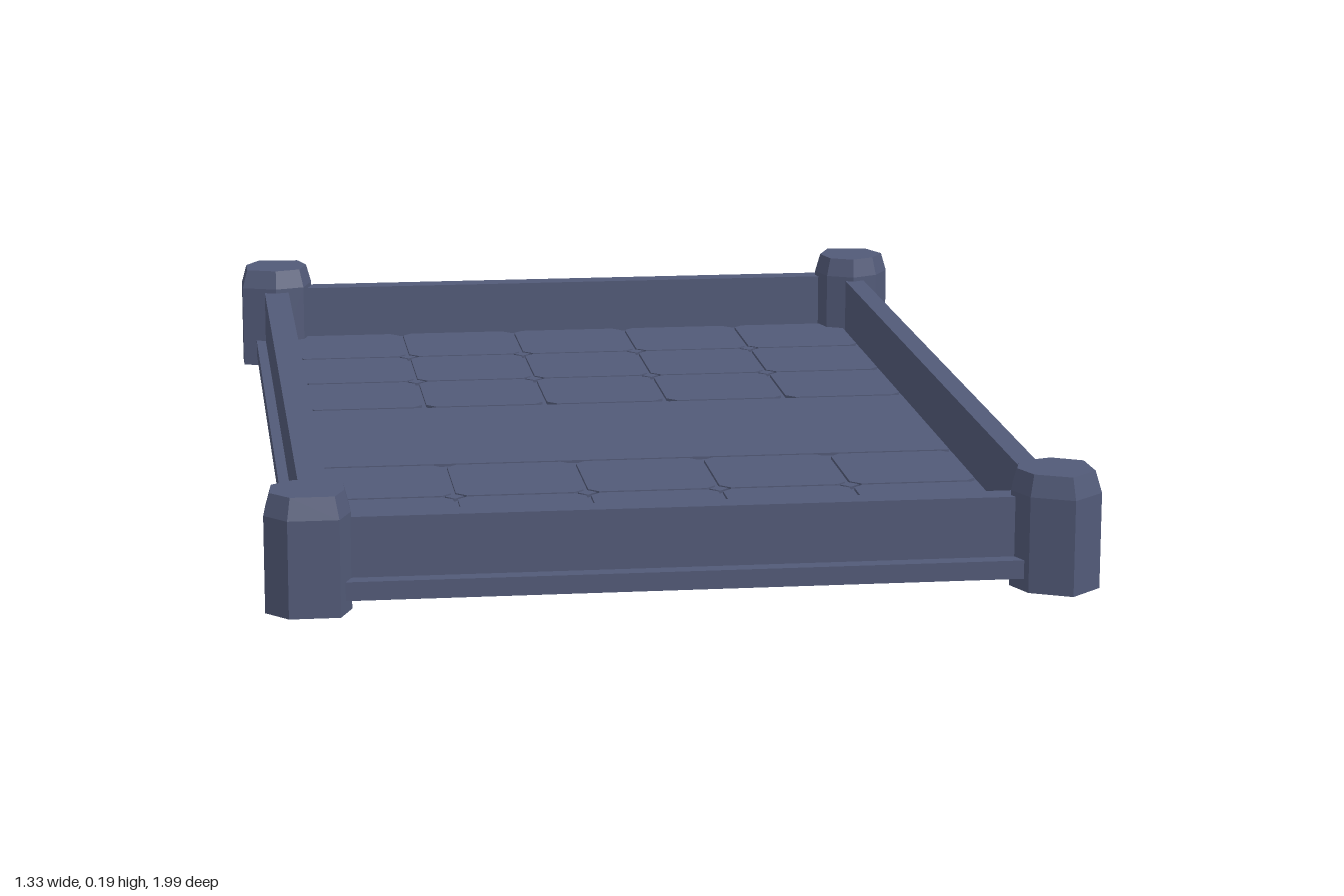
import * as THREE from 'three';
import { ConvexGeometry } from 'three/addons/geometries/ConvexGeometry.js';
import { mergeGeometries } from 'three/addons/utils/BufferGeometryUtils.js';

export function createModel() {
  const model = new THREE.Group();
  const stone = new THREE.MeshStandardMaterial({ color: 0x525a78 });
  stone.name = 'slate stone';
  const green = new THREE.MeshStandardMaterial({ color: 0x2a7f69 });
  green.name = 'green inlay';

  const add = (name, geometry, material = stone, parent = model) => {
    const mesh = new THREE.Mesh(geometry, material);
    mesh.name = name;
    parent.add(mesh);
    return mesh;
  };
  // Box from its two extreme corners
  const box = (x0, x1, y0, y1, z0, z1) =>
    new THREE.BoxGeometry(x1 - x0, y1 - y0, z1 - z0)
      .translate((x0 + x1) / 2, (y0 + y1) / 2, (z0 + z1) / 2);

  // Floor: inner bounds
  const X0 = -0.555, X1 = 0.565, Z0 = -0.91, Z1 = 0.88;
  const FLOOR_LOW = 0.034, FLOOR_TOP = 0.05;
  add('floorBase', box(X0, X1, 0.039, 0.045, Z0, Z1));

  // Slab with clipped corners, given in plan
  const slab = (x0, x1, z0, z1, clip) => {
    const s = new THREE.Shape([
      [x0 + clip, z0], [x1 - clip, z0], [x1, z0 + clip], [x1, z1 - clip],
      [x1 - clip, z1], [x0 + clip, z1], [x0, z1 - clip], [x0, z0 + clip],
    ].map(([x, z]) => new THREE.Vector2(x, -z)));
    return new THREE.ExtrudeGeometry(s, { depth: FLOOR_TOP - FLOOR_LOW, bevelEnabled: false })
      .rotateX(-Math.PI / 2).translate(0, FLOOR_LOW, 0);
  };
  const tiles = new THREE.Group();
  tiles.name = 'floorTiles';
  model.add(tiles);
  const cols = 5, rows = 3, gap = 0.004, w = (X1 - X0) / cols;
  for (const [a, b] of [[Z0, -0.24], [0.205, Z1]]) {
    const d = (b - a) / rows;
    for (let r = 0; r < rows; r++) {
      for (let c = 0; c < cols; c++) {
        const x = X0 + c * w, z = a + r * d;
        add('tile', slab(x + gap, x + w - gap, z + gap, z + d - gap, 0.017), stone, tiles);
        // Small diamond where four tiles meet
        if (r > 0 && c > 0) {
          const g = new THREE.CylinderGeometry(0.016, 0.016, FLOOR_TOP - FLOOR_LOW, 4)
            .translate(x, (FLOOR_TOP + FLOOR_LOW) / 2, z);
          add('diamondTile', g, stone, tiles);
        }
      }
    }
  }
  add('centrePanel', slab(X0 + gap, X1 - gap, -0.24 + gap, 0.205 - gap, 0.004));

  // Raised rails, each with a low outer ledge
  const low = 0.02, step = 0.05, top = 0.147;
  add('leftRail', box(X1, 0.602, low, top, -0.93, 0.9));
  add('leftLedge', box(0.6, 0.62, low, step, -0.93, 0.9));
  add('rightRail', box(-0.602, X0, low, top, -0.93, 0.9));
  add('rightLedge', box(-0.62, -0.6, low, step, -0.93, 0.9));
  add('frontRail', box(-0.58, 0.58, low, top, Z1, 0.922));
  add('frontLedge', box(-0.58, 0.58, low, step, 0.92, 0.948));
  add('backRail', box(-0.58, 0.58, low, top, -0.95, Z0));
  add('backLedge', box(-0.58, 0.58, low, step, -0.973, -0.948));

  // Rough-hewn corner posts: plan outlines, chamfered at the top
  const posts = {
    rightFrontPost: [[-0.62, 0.84], [-0.57, 0.835], [-0.53, 0.865], [-0.53, 0.92],
      [-0.55, 0.97], [-0.63, 0.97], [-0.665, 0.93], [-0.66, 0.87]],
    leftFrontPost: [[0.59, 0.835], [0.645, 0.865], [0.648, 0.945], [0.595, 0.992],
      [0.53, 0.96], [0.51, 0.91], [0.525, 0.855]],
    rightBackPost: [[-0.615, -1], [-0.525, -0.995], [-0.507, -0.94], [-0.525, -0.88],
      [-0.58, -0.862], [-0.645, -0.885], [-0.645, -0.95]],
    leftBackPost: [[0.545, -0.995], [0.635, -0.98], [0.66, -0.92], [0.63, -0.87],
      [0.58, -0.845], [0.53, -0.87], [0.515, -0.925]],
  };
  for (const [name, outline] of Object.entries(posts)) {
    const cx = outline.reduce((s, p) => s + p[0], 0) / outline.length;
    const cz = outline.reduce((s, p) => s + p[1], 0) / outline.length;
    const points = [];
    for (const [y, k] of [[0, 1], [0.155, 1], [0.19, 0.86]]) {
      for (const [x, z] of outline) {
        points.push(new THREE.Vector3(cx + (x - cx) * k, y, cz + (z - cz) * k));
      }
    }
    add(name, new ConvexGeometry(points));
  }

  // Green key pattern on the back of both end rails
  const keyBand = (name, zFace) => {
    const units = 9, start = -0.52, unit = 1.04 / units;
    const y0 = 0.06, h = 0.075, t = 0.014, zs = [zFace - 0.005, zFace + 0.001];
    const parts = [];
    const bar = (x0, x1, a, b) => parts.push(box(x0, x1, a, b, ...zs));
    for (let i = 0; i < units; i++) {
      const x = start + i * unit, r = x + unit * 0.72;
      bar(x, x + t, y0, y0 + h);                       // upright
      bar(x + t, r, y0 + h - t, y0 + h);               // top run
      bar(r - t, r, y0 + 0.026, y0 + h - t);           // return
      bar(x + unit * 0.36, r - t, y0 + 0.026, y0 + 0.026 + t); // hook
      bar(x + t, x + unit, y0, y0 + t);                // base run
    }
    add(name, mergeGeometries(parts), green);
  };
  keyBand('backKeyPattern', -0.95);
  keyBand('frontKeyPattern', Z1);

  return model;
}
